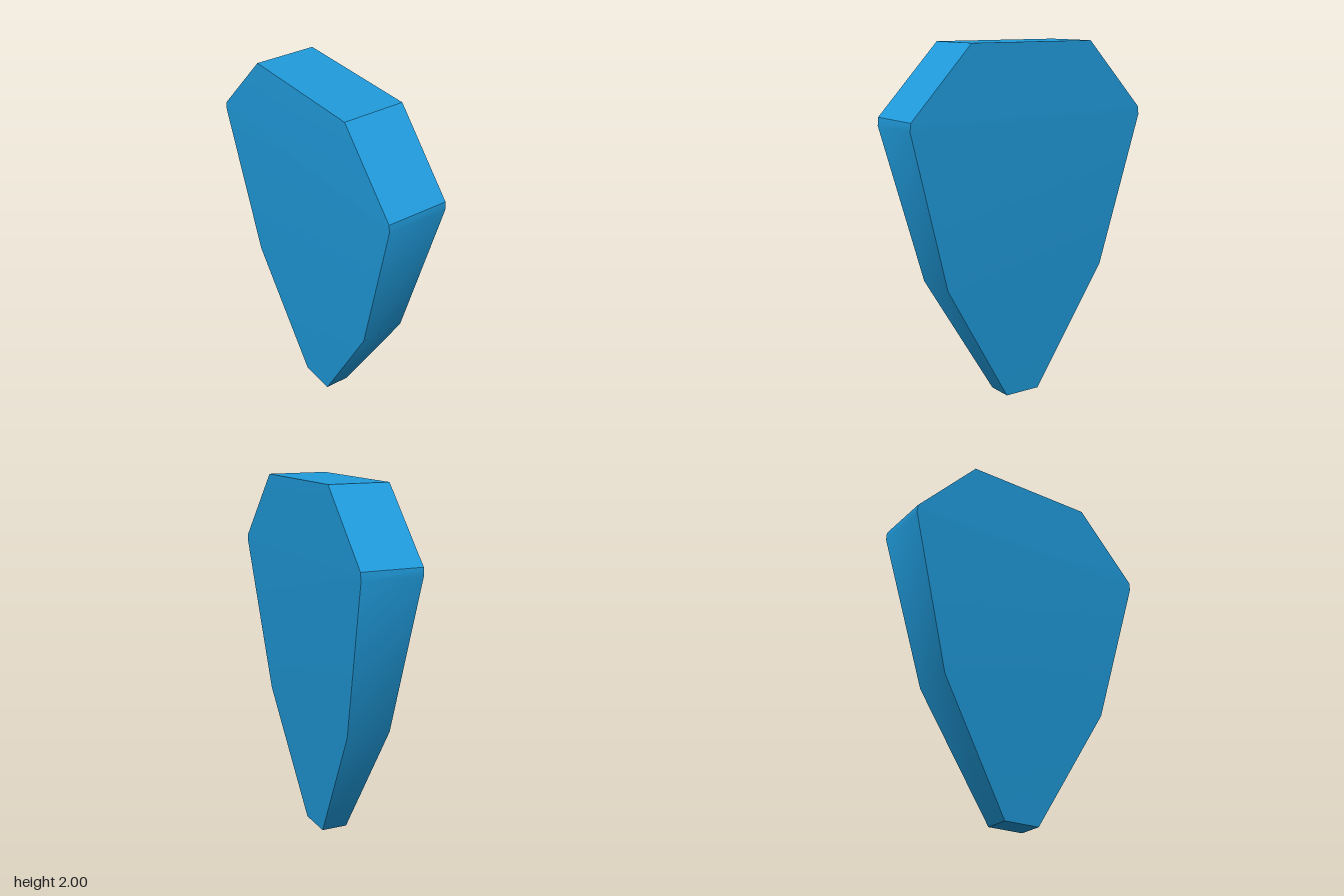
import * as THREE from 'three';
import { toCreasedNormals } from 'three/addons/utils/BufferGeometryUtils.js';

// Lofts a closed solid through rectangular sections given as [y, halfWidthX, halfDepthZ].
function loftRectangles(sections) {
  const positions = [];
  const indices = [];
  for (const [y, hx, hz] of sections) {
    positions.push(hx, y, hz, -hx, y, hz, -hx, y, -hz, hx, y, -hz);
  }
  for (let s = 0; s < sections.length - 1; s++) {
    for (let i = 0; i < 4; i++) {
      const a = s * 4 + i;
      const b = s * 4 + (i + 1) % 4;
      indices.push(b, a, a + 4, b, a + 4, b + 4);
    }
  }
  const t = (sections.length - 1) * 4;
  indices.push(0, 1, 2, 0, 2, 3); // bottom cap
  indices.push(t + 3, t + 2, t + 1, t + 3, t + 1, t); // top cap

  const geometry = new THREE.BufferGeometry();
  geometry.setAttribute('position', new THREE.Float32BufferAttribute(positions, 3));
  geometry.setIndex(indices);
  // Smooth along the tapering edge, sharp at the shoulder, caps and broad faces
  return toCreasedNormals(geometry, THREE.MathUtils.degToRad(30));
}

export function createModel() {
  const group = new THREE.Group();
  group.name = 'taperedShield';

  const material = new THREE.MeshStandardMaterial({ color: 0x209cdd });

  // Slab: narrow foot, flaring sides, short shoulder, bevelled flat top
  const slab = new THREE.Mesh(loftRectangles([
    [0, 0.075, 0.108],
    [0.7, 0.126, 0.522],
    [1.57, 0.173, 0.756],
    [1.615, 0.174, 0.752],
    [2, 0.174, 0.389],
  ]), material);
  slab.name = 'slab';
  group.add(slab);

  return group;
}
